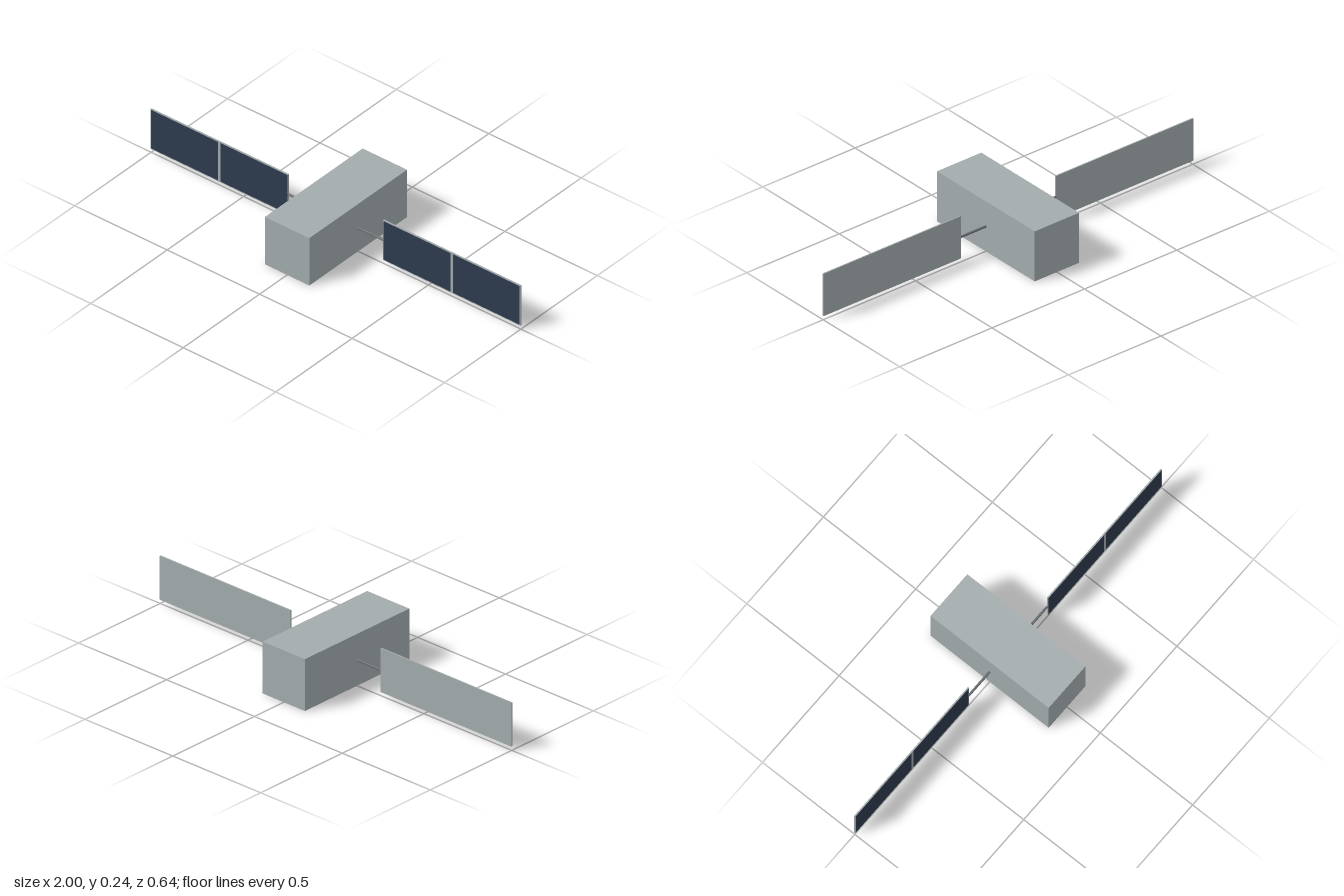
import * as THREE from 'three';

export function createModel() {
  const model = new THREE.Group();
  model.name = 'satellite';

  const makeMaterial = (name, color) => {
    const m = new THREE.MeshStandardMaterial({ color });
    m.name = name;
    return m;
  };
  const silver = makeMaterial('silver grey', 0xa3abad);
  const navy = makeMaterial('solar navy', 0x2d3a4d);
  const darkGrey = makeMaterial('dark grey', 0x6a6e72);

  const add = (parent, name, geometry, material, x, y, z) => {
    const mesh = new THREE.Mesh(geometry, material);
    mesh.name = name;
    mesh.position.set(x, y, z);
    parent.add(mesh);
    return mesh;
  };

  const height = 0.242, midY = height / 2;
  const bodyHalf = 0.12, panelInner = 0.257, panelOuter = 1;
  const panelLength = panelOuter - panelInner;
  const panelMid = (panelInner + panelOuter) / 2;
  const panelDepth = 0.006;

  // Main bus
  add(model, 'body', new THREE.BoxGeometry(bodyHalf * 2, height, 0.64), silver, 0, midY, 0);

  // One wing per side: boom, backing panel and two solar cells on the front
  for (const [side, s] of [['left', 1], ['right', -1]]) {
    const wing = new THREE.Group();
    wing.name = side + 'Wing';
    model.add(wing);

    const boomLength = panelInner - bodyHalf;
    const boom = add(wing, 'boom', new THREE.CylinderGeometry(0.0055, 0.0055, boomLength, 12),
      darkGrey, s * (bodyHalf + boomLength / 2), midY, 0);
    boom.rotation.z = Math.PI / 2;

    add(wing, 'panel', new THREE.BoxGeometry(panelLength, 0.205, panelDepth),
      silver, s * panelMid, midY, 0);

    for (const k of [-1, 1]) {
      add(wing, 'solarCell', new THREE.BoxGeometry(0.36, 0.196, 0.001),
        navy, s * panelMid + k * 0.1875, midY, panelDepth / 2 + 0.0003);
    }
  }

  return model;
}
